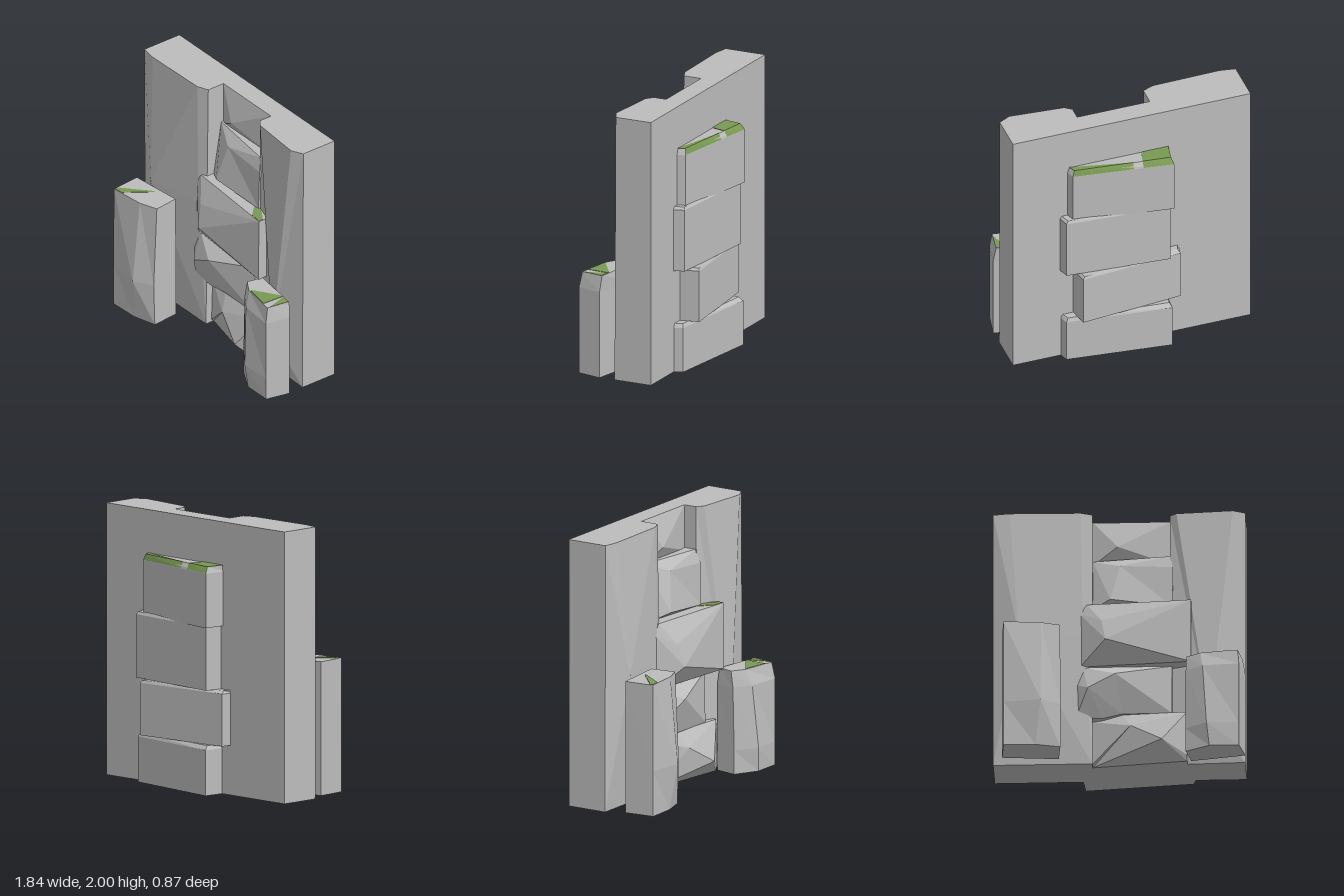
import * as THREE from 'three';

const stone = new THREE.MeshStandardMaterial({ color: 0xbcbcbc, flatShading: true });
stone.name = 'grey stone';
const moss = new THREE.MeshStandardMaterial({ color: 0x7a9a52, flatShading: true });
moss.name = 'green moss';

function facetMesh(name, tris, material = stone) {
  const g = new THREE.BufferGeometry();
  g.setAttribute('position', new THREE.Float32BufferAttribute(tris.flat(2), 3));
  g.computeVertexNormals();
  const m = new THREE.Mesh(g, material);
  m.name = name;
  return m;
}

// Faceted relief: rim runs counter-clockwise seen from +z, peaks raise the face, sides run back to zBack
function relief(name, rim, peaks, zBack) {
  const n = rim.length, tris = [];
  const nearest = rim.map((p, i) => {
    const q = rim[(i + 1) % n];
    const d = (a) => Math.hypot((p[0] + q[0]) / 2 - a[0], (p[1] + q[1]) / 2 - a[1]);
    return peaks.reduce((best, a) => (d(a) < d(best) ? a : best));
  });
  const back = rim.map(([x, y]) => [x, y, zBack]);
  for (let i = 0; i < n; i++) {
    const j = (i + 1) % n;
    tris.push([rim[i], rim[j], nearest[i]]);
    if (nearest[i] !== nearest[j]) tris.push([rim[j], nearest[j], nearest[i]]);
    tris.push([rim[i], back[i], back[j]], [rim[i], back[j], rim[j]]);
    if (i > 0 && i < n - 1) tris.push([back[0], back[j], back[i]]);
  }
  return facetMesh(name, tris);
}

// Stacked rings of [x, z] at heights y; rings run from the back right corner to the back left, then forward
function stack(name, levels) {
  const rings = levels.map(([y, pts]) => pts.map(([x, z]) => [x, y, z]));
  const n = rings[0].length, tris = [];
  for (let k = 0; k < rings.length - 1; k++) {
    const a = rings[k], b = rings[k + 1];
    for (let i = 0; i < n; i++) {
      const j = (i + 1) % n;
      tris.push([a[i], b[i], b[j]], [a[i], b[j], a[j]]);
    }
  }
  const bottom = rings[0], top = rings[rings.length - 1];
  for (let i = 1; i < n - 1; i++) {
    tris.push([bottom[0], bottom[i], bottom[i + 1]], [top[0], top[i + 1], top[i]]);
  }
  return facetMesh(name, tris);
}

// Thin moss plate lying on a flat top
function mossPatch(name, y, pts) {
  const s = new THREE.Shape(pts.map(([x, z]) => new THREE.Vector2(x, -z)));
  const g = new THREE.ExtrudeGeometry(s, { depth: 0.004, bevelEnabled: false });
  g.rotateX(-Math.PI / 2);
  const m = new THREE.Mesh(g, moss);
  m.name = name;
  m.position.y = y - 0.001;
  return m;
}

// Moss face on a sloping edge, lifted just off the stone
function mossBevel(name, [a, b, c, d]) {
  const m = facetMesh(name, [[a, b, c], [a, c, d]], moss);
  m.position.set(0, 0.003, -0.002);
  return m;
}

export function createModel() {
  const model = new THREE.Group();
  model.name = 'rockWall';

  // Wall slab: two bulging panels and the recessed channel between them
  const wall = new THREE.Group();
  wall.name = 'wall';
  const zb = -0.275;
  wall.add(
    relief('rightPanel', [[-0.92, 0, 0.04], [-0.2, 0, 0.04], [-0.2, 1.25, 0.03], [-0.2, 2, 0.02],
      [-0.285, 2, 0.055], [-0.8, 2, 0.065], [-0.92, 2, 0.045]],
    [[-0.73, 1, 0.135], [-0.265, 1.01, 0.06]], zb),
    relief('leftPanel', [[0.36, 0, 0], [0.91, 0, 0.02], [0.91, 2, 0.01], [0.82, 2, 0.055],
      [0.41, 2, 0.02], [0.36, 2, -0.02]], [[0.65, 0.35, 0.095]], zb),
    relief('channelTop', [[-0.2, 1.66, -0.12], [0.36, 1.66, -0.12], [0.36, 2, -0.12], [-0.2, 2, -0.12]],
      [[-0.02, 1.775, -0.05]], zb),
    relief('channelCore', [[-0.2, 0, -0.12], [0.36, 0, -0.12], [0.36, 1.66, -0.12], [-0.2, 1.66, -0.12]],
      [[0.08, 0.8, -0.12]], zb),
  );
  model.add(wall);

  // Column of faceted rocks on the front
  const column = new THREE.Group();
  column.name = 'frontRocks';
  const rocks = [
    { rim: [[-0.2, 0, -0.03], [0.49, 0, 0.06], [0.49, 0.04, 0.08], [0.49, 0.39, 0.07], [0.02, 0.39, 0.03],
      [-0.13, 0.36, 0], [-0.2, 0.36, -0.02], [-0.2, 0.02, -0.01]],
    peaks: [[0.31, 0.13, 0.175], [0.08, 0.27, 0.11]] },
    { rim: [[-0.31, 0.39, 0.05], [-0.2, 0.365, 0.04], [-0.13, 0.36, 0.04], [0.02, 0.39, 0.05], [0.38, 0.39, 0.05],
      [0.38, 0.77, 0.04], [-0.27, 0.77, 0.04], [-0.31, 0.62, 0.06]],
    peaks: [[-0.23, 0.57, 0.13], [-0.03, 0.67, 0.15]] },
    { rim: [[-0.29, 0.77, 0.05], [0.52, 0.77, 0.12], [0.52, 1.265, 0.115], [-0.24, 1.265, 0.055], [-0.29, 1.19, 0.055]],
      peaks: [[-0.1, 0.93, 0.19], [-0.13, 1.1, 0.145]] },
    { rim: [[-0.2, 1.265, -0.03], [0.38, 1.265, 0.01], [0.385, 1.58, 0.005], [0.36, 1.68, -0.025], [-0.2, 1.68, -0.1]],
      peaks: [[-0.07, 1.31, 0.05], [0, 1.6, -0.005]] },
  ];
  rocks.forEach(({ rim, peaks }, i) => column.add(relief(`frontRock${i + 1}`, rim, peaks, -0.2)));
  column.add(mossPatch('frontRockMoss', 1.265, [[0.33, 0.01], [0.42, 0.1], [0.515, 0.112], [0.515, 0.075], [0.4, 0]]));
  model.add(column);

  // Back blocks: [y0, y1, right x, right z, left x, left z, bevel]
  const backBlocks = new THREE.Group();
  backBlocks.name = 'backBlocks';
  [
    [0, 0.365, -0.28, -0.43, 0.55, -0.34, 0.03],
    [0.365, 0.77, -0.37, -0.35, 0.45, -0.42, 0.02],
    [0.77, 1.255, -0.27, -0.415, 0.555, -0.355, 0.02],
    [1.235, 1.68, -0.29, -0.437, 0.5, -0.335, 0.045],
  ].forEach(([y0, y1, xr, zr, xl, zl, bevel], i) => {
    const foot = [[xr + 0.015, zr], [xl - 0.03, zl], [xl, -0.25], [xr, -0.25]];
    const top = [[xr + 0.03, zr + 0.03], [xl - 0.045, zl + 0.01], [xl - 0.015, -0.25], [xr, -0.25]];
    backBlocks.add(stack(`backBlock${i + 1}`, [[y0, foot], [y1 - bevel, foot], [y1, top]]));
  });
  backBlocks.add(
    mossPatch('backMossRight', 1.68, [[-0.288, -0.27], [-0.08, -0.27], [-0.05, -0.383], [-0.26, -0.407]]),
    mossBevel('backMossRightBevel', [[-0.05, 1.68, -0.383], [-0.05, 1.635, -0.406], [-0.275, 1.635, -0.437], [-0.26, 1.68, -0.407]]),
    mossPatch('backMossLeft', 1.68, [[0.02, -0.375], [0.42, -0.285], [0.48, -0.27], [0.455, -0.325]]),
    mossBevel('backMossLeftBevel', [[0.455, 1.68, -0.325], [0.47, 1.635, -0.335], [0.02, 1.635, -0.396], [0.02, 1.68, -0.375]]),
  );
  model.add(backBlocks);

  // Free-standing boulders at the foot of the wall
  const boulders = new THREE.Group();
  boulders.name = 'boulders';
  boulders.add(
    stack('rightBoulder', [
      [0, [[-0.85, 0.17], [-0.44, 0.13], [-0.42, 0.34], [-0.6, 0.39], [-0.83, 0.4]]],
      [0.34, [[-0.85, 0.17], [-0.44, 0.13], [-0.42, 0.35], [-0.56, 0.435], [-0.83, 0.4]]],
      [0.985, [[-0.85, 0.17], [-0.445, 0.13], [-0.422, 0.32], [-0.56, 0.37], [-0.83, 0.397]]],
    ]),
    mossPatch('rightBoulderMoss', 0.985, [[-0.825, 0.393], [-0.75, 0.385], [-0.61, 0.19], [-0.63, 0.195], [-0.825, 0.37]]),
    stack('leftBoulder', [
      [0, [[0.52, 0.06], [0.915, 0.14], [0.875, 0.325], [0.66, 0.325], [0.485, 0.23]]],
      [0.18, [[0.52, 0.06], [0.915, 0.14], [0.875, 0.328], [0.64, 0.34], [0.485, 0.23]]],
      [0.65, [[0.52, 0.06], [0.915, 0.14], [0.875, 0.328], [0.61, 0.305], [0.485, 0.22]]],
      [0.77, [[0.52, 0.08], [0.895, 0.13], [0.865, 0.305], [0.59, 0.262], [0.49, 0.2]]],
    ]),
    mossPatch('leftBoulderMossA', 0.77, [[0.595, 0.255], [0.8, 0.293], [0.81, 0.125], [0.79, 0.125]]),
    mossPatch('leftBoulderMossB', 0.77, [[0.82, 0.125], [0.868, 0.285], [0.892, 0.135]]),
  );
  model.add(boulders);

  return model;
}
